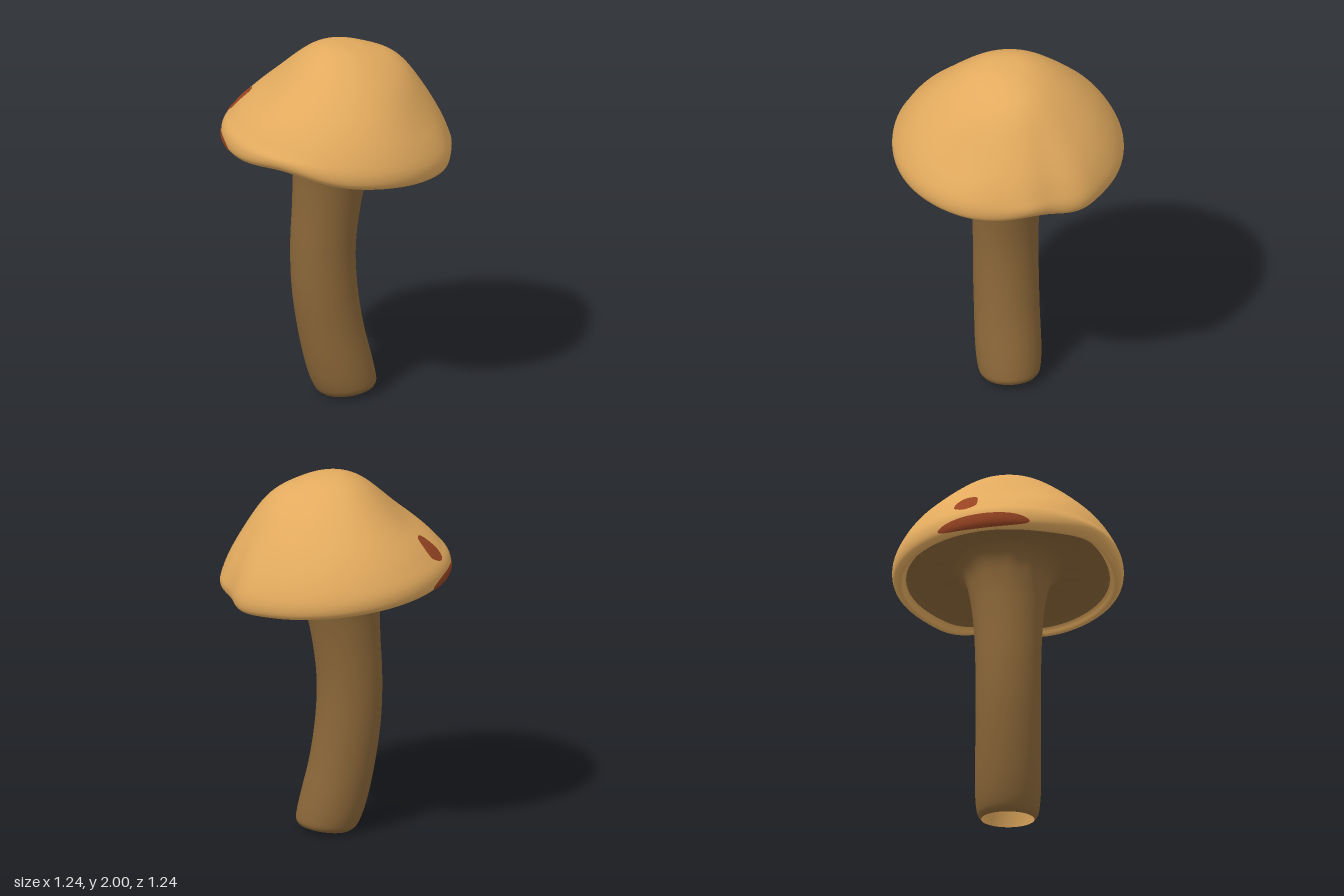
import * as THREE from 'three';

const TAU = Math.PI * 2;
const rad = THREE.MathUtils.degToRad;
const smooth = THREE.MathUtils.smoothstep;
const gauss = (d, w) => Math.exp(-((d / w) ** 2));

// Soft bump around the cap, centred on a0 degrees with width w
function bump(a, a0, w) {
  const d = a - rad(a0);
  return gauss(Math.atan2(Math.sin(d), Math.cos(d)), w);
}

// Smooth lookup in a list of profile points; i counts points
function makeProfile(points) {
  const curve = new THREE.CatmullRomCurve3(points.map((p) => new THREE.Vector3(p[0], p[1], p[2] || 0)));
  return (i) => curve.getPoint(THREE.MathUtils.clamp(i / (points.length - 1), 0, 1));
}

// Surface from closed rings fn(angle, i); faces outward when the rings run from the top down
function rings(fn, i0, i1, rows, cols) {
  const pos = [], index = [];
  for (let r = 0; r <= rows; r++) {
    for (let c = 0; c < cols; c++) pos.push(...fn((c / cols) * TAU, i0 + ((i1 - i0) * r) / rows).toArray());
  }
  for (let r = 0; r < rows; r++) {
    for (let c = 0; c < cols; c++) {
      const n = (c + 1) % cols;
      const a = r * cols + c, b = r * cols + n, d = a + cols, e = b + cols;
      index.push(a, b, d, b, e, d);
    }
  }
  const g = new THREE.BufferGeometry();
  g.setAttribute('position', new THREE.Float32BufferAttribute(pos, 3));
  g.setIndex(index);
  g.computeVertexNormals();
  return g;
}

// Cap outline (radius, height): crown 0-6, lip 7-10, gills 10-13
const capProfile = makeProfile([
  [0.0005, 0.617], [0.1, 0.608], [0.2, 0.57], [0.3, 0.505], [0.4, 0.42], [0.5, 0.31], [0.582, 0.18],
  [0.619, 0.075], [0.61, 0.015], [0.575, -0.008], [0.545, 0.025], [0.4, 0.065], [0.25, 0.07], [0.1, 0.07],
]);

// Tilted, dented cap surface
function capPoint(a, i) {
  const p = capProfile(i);
  const edge = (p.x / 0.6) ** 2;
  const crown = smooth(p.y, 0.06, 0.2);
  let r = p.x, h = p.y;
  // Sunken left side, fuller right shoulder, flatter front right
  h -= 0.085 * bump(a, 185, 0.85) * gauss(p.x - 0.42, 0.18) * crown;
  h += 0.045 * bump(a, -5, 0.7) * gauss(p.x - 0.32, 0.14) * crown;
  h -= 0.035 * bump(a, 38, 0.4) * gauss(p.x - 0.5, 0.1) * crown;
  // Wavy lip
  h += (0.045 * bump(a, 130, 0.38) + 0.033 * bump(a, -3, 0.25)) * edge * (1 - smooth(p.y, 0, 0.16));
  r += (0.014 * bump(a, -31, 0.18) - 0.016 * bump(a, -14, 0.15) - 0.008 * bump(a, 15, 0.2)) * edge ** 2;
  // Gill folds
  if (i > 10) h += 0.004 * Math.sin(a * 22 + 2 * Math.sin(a * 3)) * smooth(i, 10.3, 11.5);
  const x = r * Math.cos(a) + 0.05 * (p.y / 0.6) - 0.003;
  return new THREE.Vector3(x, 1.384 + h - 0.103 * x, r * Math.sin(a));
}

// Curved stem: height, centre x, radius
const stemProfile = makeProfile([
  [1.49, -0.03, 0.4], [1.45, -0.03, 0.285], [1.39, -0.03, 0.232], [1.28, -0.035, 0.205], [1.1, -0.055, 0.185],
  [0.85, -0.075, 0.176], [0.62, -0.068, 0.176], [0.38, -0.035, 0.176], [0.18, 0.01, 0.177], [0.08, 0.038, 0.17],
  [0.04, 0.052, 0.16], [0.021, 0.06, 0.143],
]);
function stemPoint(a, i) {
  const p = stemProfile(i);
  const r = p.z * (1 + 0.02 * Math.sin(a * 11 + Math.sin(a * 2)) * smooth(p.x, 1.28, 1.45));
  const x = r * Math.cos(a);
  return new THREE.Vector3(p.y + x, p.x + x * (0.14 - (0.24 * p.x) / 1.4), r * Math.sin(a));
}

// Hollow inside the foot, running up from the rim and closing: height, centre x, radius
const hollowProfile = makeProfile([
  [0.021, 0.06, 0.143], [0.05, 0.05, 0.145], [0.18, 0.01, 0.145], [0.38, -0.035, 0.145], [0.5, -0.05, 0.12],
  [0.54, -0.055, 0.0005],
]);
function hollowPoint(a, i) {
  const p = hollowProfile(i);
  const x = p.z * Math.cos(a);
  return new THREE.Vector3(p.y + x, p.x + x * 0.137, p.z * Math.sin(a));
}

// Thin irregular blotch lying just over the cap surface, from its rim (i = 1) to its middle
function blotch(a0, i0, da, di, wobble) {
  const point = (t, s) => {
    const k = s * (1 + wobble * (Math.sin(3 * t + 1) + 0.7 * Math.sin(5 * t)));
    const a = rad(a0) + da * k * Math.cos(t), i = i0 + di * k * Math.sin(t);
    const p = capPoint(a, i);
    const n = capPoint(a + 0.01, i).sub(p).cross(capPoint(a, i + 0.01).sub(p)).normalize();
    return p.addScaledVector(n, 0.005);
  };
  return rings(point, 1, 0.001, 8, 40);
}

export function createModel() {
  const material = (name, color) => {
    const m = new THREE.MeshStandardMaterial({ color });
    m.name = name;
    return m;
  };
  const capTan = material('cap tan', 0xe2aa5e);
  const stemBrown = material('stem brown', 0x8a6638);
  const rust = material('rust red', 0x984422);

  const group = new THREE.Group();
  group.name = 'mushroom';
  const add = (name, geometry, mat) => {
    const mesh = new THREE.Mesh(geometry, mat);
    mesh.name = name;
    group.add(mesh);
  };

  add('cap', rings(capPoint, 0, 10, 80, 128), capTan);
  add('gills', rings(capPoint, 10, 13, 18, 208), stemBrown);
  add('stem', rings(stemPoint, 0, 11, 66, 88), stemBrown);
  add('footHollow', rings(hollowPoint, 0, 5, 30, 88), capTan);
  add('capSpot', blotch(204.5, 5.6, 0.115, 0.75, 0.035), rust);
  add('lipStain', blotch(194, 7.75, 0.42, 0.7, 0.02), rust);
  return group;
}
